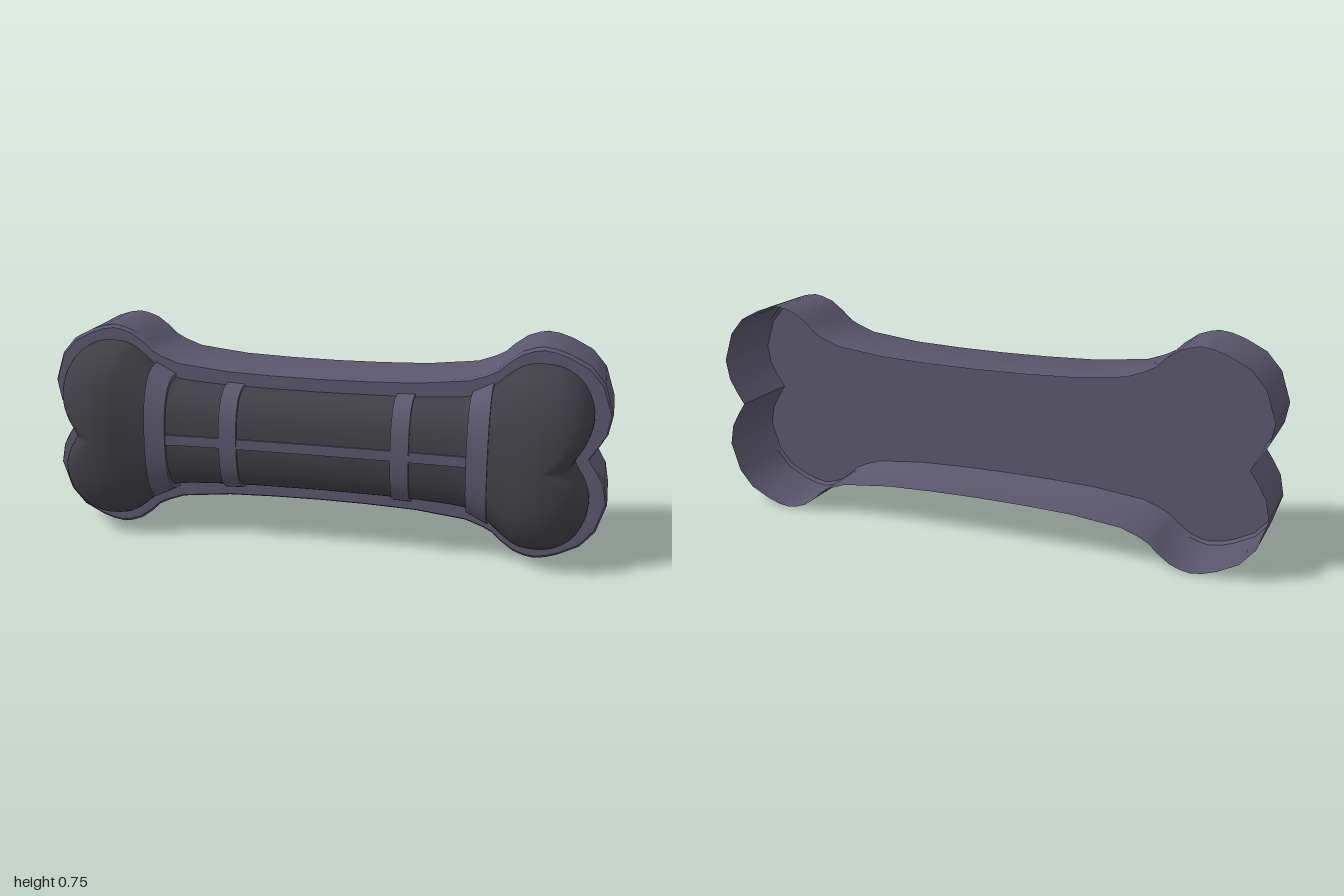
import * as THREE from 'three';
import { mergeVertices, toCreasedNormals } from 'three/addons/utils/BufferGeometryUtils.js';

const YC = 0.377;      // mid height
const Z0 = 0.037;      // front face of the tray
const ZB = -0.226;     // open back rim
const LOBE_X = 0.77;   // end of the central spine
const P = 2.5;         // roundness of the padded cross-section

// Quarter outlines [x, height above mid line], from the middle to the end notch
const TRAY = [[0, 0.228], [0.17, 0.23], [0.34, 0.236], [0.52, 0.256], [0.58, 0.278], [0.615, 0.296], [0.645, 0.325],
  [0.69, 0.358], [0.73, 0.372], [0.76, 0.377], [0.80, 0.371], [0.845, 0.356], [0.915, 0.32], [0.965, 0.262],
  [0.998, 0.16], [0.985, 0.09], [0.96, 0.045], [0.93, 0]];
const PAD = [[0, 0.176], [0.3, 0.18], [0.5, 0.192], [0.56, 0.21], [0.6, 0.236], [0.65, 0.28], [0.7, 0.313], [0.76, 0.322],
  [0.83, 0.312], [0.89, 0.272], [0.928, 0.205], [0.937, 0.135], [0.92, 0.075], [0.895, 0.032], [0.88, 0]];
// Padding thickness along the spine
const DEPTH = [[0, 0.116], [0.3, 0.118], [0.5, 0.124], [0.6, 0.14], [0.66, 0.163], [0.72, 0.188], [0.77, 0.199]];

// Linear lookup in a list of [x, value]
function lookup(table, x) {
  const a = Math.abs(x);
  let i = 1;
  while (i < table.length - 1 && table[i][0] < a) i++;
  const [x0, v0] = table[i - 1], [x1, v1] = table[i];
  return v0 + (v1 - v0) * Math.min(1, (a - x0) / (x1 - x0));
}

// Mirror a quarter outline into a full counter-clockwise loop
function fullLoop(q) {
  const r = [...q].reverse();
  return [
    ...r,
    ...q.slice(1).map(([x, y]) => [-x, y]),
    ...r.slice(1).map(([x, y]) => [-x, -y]),
    ...q.slice(1, -1).map(([x, y]) => [x, -y]),
  ];
}

// Scale an outline point towards the spine by r
function shrink([x, y], r) {
  const s = THREE.MathUtils.clamp(x, -LOBE_X, LOBE_X);
  return [s + (x - s) * r, y * r];
}

// Surface through a grid of points fn(column, row)
function grid(cols, rows, closed, fn) {
  const pos = [], idx = [];
  for (let j = 0; j < rows; j++) for (let i = 0; i < cols; i++) pos.push(...fn(i, j));
  for (let j = 0; j < rows - 1; j++) {
    for (let i = 0; i < (closed ? cols : cols - 1); i++) {
      const k = (i + 1) % cols;
      const a = j * cols + i, b = j * cols + k, c = b + cols, d = a + cols;
      idx.push(a, b, c, a, c, d);
    }
  }
  const g = new THREE.BufferGeometry();
  g.setAttribute('position', new THREE.Float32BufferAttribute(pos, 3));
  g.setIndex(idx);
  return g;
}

// Tray walls with a small front bevel, open at the back
function wallGeometry(loop) {
  const rings = [[1, ZB], [1, Z0 - 0.011], [0.972, Z0]];
  const g = grid(loop.length, rings.length, true, (i, j) => {
    const [x, y] = shrink(loop[i], rings[j][0]);
    return [x, YC + y, rings[j][1]];
  });
  return toCreasedNormals(g, 0.6);
}

// Front plate closing the tray
function plateGeometry(loop) {
  const shape = new THREE.Shape(loop.map((p) => new THREE.Vector2(...shrink(p, 0.972))));
  return new THREE.ShapeGeometry(shape).translate(0, YC, Z0);
}

// Padded body: outline rings shrinking onto the spine
function padGeometry() {
  const curve = new THREE.SplineCurve(PAD.map(([x, y]) => new THREE.Vector2(x, y)));
  const loop = fullLoop(curve.getPoints(56).map((v) => [v.x, v.y]));
  const rows = 15;
  const g = grid(loop.length, rows, true, (i, j) => {
    const a = (j / (rows - 1)) * Math.PI / 2;
    const r = j === rows - 1 ? 0 : Math.cos(a) ** (2 / P);
    const [x, y] = shrink(loop[i], r);
    const s = THREE.MathUtils.clamp(loop[i][0], -LOBE_X, LOBE_X);
    return [x, YC + y, Z0 + lookup(DEPTH, s) * Math.sin(a) ** (2 / P)];
  });
  const merged = mergeVertices(g, 1e-4);
  merged.computeVertexNormals();
  return merged;
}

// Band wrapped over the padding between x0 and x1
function strapGeometry(x0, x1, lift) {
  const profile = [[x0, -0.01], [x0, lift], [x1, lift], [x1, -0.01]];
  const n = 29;
  const g = grid(n, profile.length, false, (i, j) => {
    const [x, o] = profile[j];
    const a = (i / (n - 1)) * Math.PI, c = Math.cos(a);
    const y = Math.sign(c) * Math.abs(c) ** (2 / P) * (lookup(PAD, x) + o);
    const z = Math.max(0, Math.sin(a)) ** (2 / P) * (lookup(DEPTH, x) + o);
    return [x, YC + y, Z0 + z];
  });
  return toCreasedNormals(g, 0.6);
}

// Lengthwise band along the middle of the shaft
function barGeometry() {
  const profile = [[-0.016, -0.01], [-0.016, 0.006], [0.02, 0.006], [0.02, -0.01]];
  const n = 23;
  const g = grid(n, profile.length, false, (i, j) => {
    const x = -0.55 + (1.1 * i) / (n - 1);
    return [x, YC + profile[j][0], Z0 + lookup(DEPTH, x) + profile[j][1]];
  });
  return toCreasedNormals(g, 0.6);
}

export function createModel() {
  const model = new THREE.Group();
  model.name = 'bone';
  const shell = new THREE.MeshStandardMaterial({ color: 0x5a566c, side: THREE.DoubleSide });
  const trim = new THREE.MeshStandardMaterial({ color: 0x5a566c });
  const dark = new THREE.MeshStandardMaterial({ color: 0x403f46 });
  const add = (name, geometry, material) => {
    const mesh = new THREE.Mesh(geometry, material);
    mesh.name = name;
    model.add(mesh);
  };

  // Hollow tray
  const loop = fullLoop(TRAY);
  add('trayWall', wallGeometry(loop), shell);
  add('trayFrontPlate', plateGeometry(loop), shell);

  // Padded bone and its bands
  add('bonePadding', padGeometry(), dark);
  add('leftEndStrap', strapGeometry(0.53, 0.602, 0.011), trim);
  add('rightEndStrap', strapGeometry(-0.602, -0.53, 0.011), trim);
  add('leftInnerStrap', strapGeometry(0.272, 0.335, 0.009), trim);
  add('rightInnerStrap', strapGeometry(-0.335, -0.272, 0.009), trim);
  add('centreBar', barGeometry(), trim);

  return model;
}
